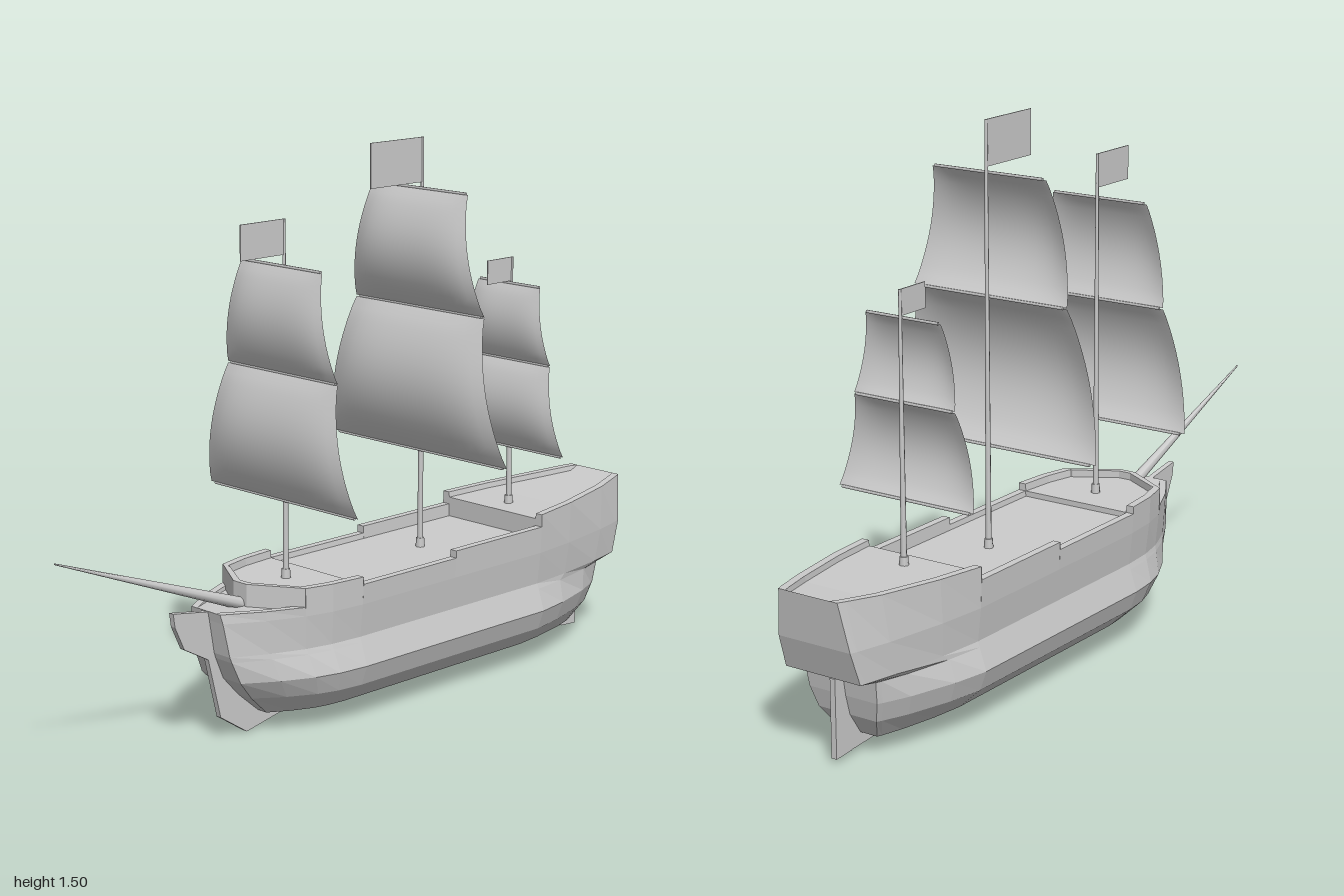
import * as THREE from 'three';

const flat = new THREE.MeshStandardMaterial({ color: 0xcccccc, flatShading: true, side: THREE.DoubleSide });
const smooth = new THREE.MeshStandardMaterial({ color: 0xcccccc, side: THREE.DoubleSide });
const { lerp } = THREE.MathUtils;

function add(parent, name, geometry, material = flat) {
  const mesh = new THREE.Mesh(geometry, material);
  mesh.name = name;
  parent.add(mesh);
  return mesh;
}

// Tapered round pole between two points
function pole(parent, name, from, to, r0, r1, sides = 8) {
  const a = new THREE.Vector3(...from), b = new THREE.Vector3(...to);
  const dir = b.clone().sub(a);
  const mesh = add(parent, name, new THREE.CylinderGeometry(r1, r0, dir.length(), sides), smooth);
  mesh.position.copy(a).add(b).multiplyScalar(0.5);
  mesh.quaternion.setFromUnitVectors(new THREE.Vector3(0, 1, 0), dir.normalize());
  return mesh;
}

const shapeOf = pts => new THREE.Shape(pts.map(p => new THREE.Vector2(...p)));

// Upright plate from a (z, y) outline, centred on x = 0
function plate(parent, name, pts, thickness) {
  const g = new THREE.ExtrudeGeometry(shapeOf(pts), { depth: thickness, bevelEnabled: false });
  g.translate(0, 0, -thickness / 2).rotateY(-Math.PI / 2);
  return add(parent, name, g);
}

// Horizontal slab from an (x, z) outline
function slab(parent, name, pts, y0, y1) {
  const g = new THREE.ExtrudeGeometry(shapeOf(pts.map(([x, z]) => [x, -z])), { depth: y1 - y0, bevelEnabled: false });
  g.rotateX(-Math.PI / 2).translate(0, y0, 0);
  return add(parent, name, g);
}

// Hull levels: y, half width amidships, stern z, stern half width, bow z, bow half width
const LEVELS = [
  [0.05, 0.115, -0.82, 0.06, 0.35, 0.04],
  [0.11, 0.18, -0.86, 0.09, 0.42, 0.06],
  [0.165, 0.2, -0.875, 0.105, 0.47, 0.075],
  [0.225, 0.18, -0.885, 0.11, 0.495, 0.07],
  [0.24, 0.175, -0.95, 0.115, 0.5, 0.068],
  [0.33, 0.185, -0.98, 0.11, 0.515, 0.06],
  [0.4, 0.188, -1, 0.09, 0.52, 0.055],
];
// Hull stations: z, fullness, rail height, deck height (a repeated z makes a step)
const STATIONS = [
  [-1, 0, 0.46, 0.46], [-0.98, 0.08, 0.459, 0.445], [-0.88, 0.4, 0.452, 0.437],
  [-0.7, 0.8, 0.445, 0.43], [-0.555, 1, 0.44, 0.425],
  [-0.555, 1, 0.405, 0.37], [-0.21, 1, 0.405, 0.37],
  [-0.21, 1, 0.385, 0.37], [0.14, 1, 0.385, 0.37],
  [0.14, 1, 0.405, 0.385], [0.24, 0.93, 0.405, 0.385], [0.32, 0.78, 0.405, 0.385],
  [0.32, 0.78, 0.355, 0.345], [0.42, 0.45, 0.355, 0.345], [0.52, 0, 0.355, 0.355],
];

function hullGeometry() {
  const pos = [], index = [];
  const AFT = -0.555, FORE = 0.14;
  const n = (LEVELS.length + 2) * 2;
  for (const [z, full, rail, deck] of STATIONS) {
    const half = LEVELS.map(([y, mid, zs, ws, zb, wb], k) => {
      const aft = z < 0;
      const w = lerp(aft ? ws : wb, mid, full);
      let pz = z;
      if (z < AFT) pz = lerp(AFT, zs, (z - AFT) / (-1 - AFT));
      if (z > FORE) pz = lerp(FORE, zb, (z - FORE) / (0.52 - FORE));
      return [w, k === LEVELS.length - 1 ? rail : y, pz];
    });
    // Inner face of the bulwark, then the deck edge
    const [w, , pz] = half[half.length - 1];
    half.push([w - 0.022, rail, pz], [w - 0.024, deck, pz]);
    const ring = [...half, ...half.slice().reverse().map(p => [-p[0], p[1], p[2]])];
    ring.forEach(p => pos.push(...p));
  }
  const quad = (a, b, c, d) => index.push(a, b, c, a, c, d);
  for (let j = 0; j < STATIONS.length - 1; j++)
    for (let i = 0; i < n; i++) {
      const i2 = (i + 1) % n;
      quad(j * n + i, j * n + i2, (j + 1) * n + i2, (j + 1) * n + i);
    }
  // Transom and bow face
  const last = (STATIONS.length - 1) * n;
  for (let k = 0; k < LEVELS.length - 1; k++) {
    quad(k, n - 1 - k, n - 2 - k, k + 1);
    quad(last + n - 1 - k, last + k, last + k + 1, last + n - 2 - k);
  }
  const g = new THREE.BufferGeometry();
  g.setAttribute('position', new THREE.Float32BufferAttribute(pos, 3));
  g.setIndex(index);
  const out = g.toNonIndexed();
  out.computeVertexNormals();
  return out;
}

// Billowing sail between two heights
function sailGeometry(y0, y1, w0, w1, z, belly) {
  const g = new THREE.PlaneGeometry(2, 1, 16, 14);
  const p = g.attributes.position;
  for (let i = 0; i < p.count; i++) {
    const u = p.getX(i), v = p.getY(i) + 0.5;
    const swell = Math.sin(Math.PI * v) ** 0.8 || 0;
    p.setXYZ(i, u * lerp(w0, w1, v), lerp(y0, y1, v), z + belly * swell * (0.55 + 0.45 * (1 - u ** 4)));
  }
  g.computeVertexNormals();
  return g;
}

// Masts: heights and half widths run from the lowest yard to the highest
const MASTS = [
  { name: 'foreMast', z: 0.24, base: 0.38, top: 1.33, ys: [0.595, 0.932, 1.21], ws: [0.277, 0.205, 0.15], belly: [0.055, 0.042], flag: [0.15, 0.092] },
  { name: 'mainMast', z: -0.265, base: 0.365, top: 1.495, ys: [0.645, 1.04, 1.36], ws: [0.325, 0.238, 0.175], belly: [0.07, 0.058], flag: [0.195, 0.12] },
  { name: 'mizzenMast', z: -0.625, base: 0.42, top: 1.132, ys: [0.595, 0.845, 1.06], ws: [0.208, 0.155, 0.115], belly: [0.042, 0.032], flag: [0.1, 0.067] },
];

function buildMast({ name, z, base, top, ys, ws, belly, flag }) {
  const mast = new THREE.Group();
  mast.name = name;
  pole(mast, 'mastPole', [0, base, z], [0, top, z], 0.008, 0.004);
  pole(mast, 'mastCollar', [0, base, z], [0, base + 0.03, z], 0.013, 0.011);
  ys.forEach((y, i) => {
    const w = ws[i] * 0.95;
    pole(mast, 'yard', [-w, y, z + 0.008], [w, y, z + 0.008], 0.004, 0.004, 6);
  });
  for (let i = 0; i < 2; i++)
    add(mast, i ? 'upperSail' : 'lowerSail',
      sailGeometry(ys[i] + 0.002, ys[i + 1] - 0.002, ws[i], ws[i + 1], z + 0.01, belly[i]), smooth);
  const pennant = add(mast, 'flag', new THREE.BoxGeometry(0.003, flag[1], flag[0]));
  pennant.position.set(0, top - flag[1] / 2, z + flag[0] / 2);
  return mast;
}

export function createModel() {
  const ship = new THREE.Group();
  ship.name = 'sailingShip';

  add(ship, 'hull', hullGeometry());

  // Pointed front of the forecastle: deck and surrounding bulwark
  slab(ship, 'forecastleDeck', [[0.155, 0.32], [0.025, 0.4], [-0.025, 0.4], [-0.155, 0.32]], 0.34, 0.385);
  slab(ship, 'forecastleBulwark', [
    [0.157, 0.32], [0.025, 0.402], [-0.025, 0.402], [-0.157, 0.32],
    [-0.13, 0.32], [-0.018, 0.386], [0.018, 0.386], [0.13, 0.32],
  ], 0.34, 0.405);

  // Keel sweeping up into the stem, and the rudder
  plate(ship, 'keel', [
    [-0.86, 0.015], [-0.55, 0.035], [0.22, 0.035], [0.39, 0], [0.48, 0.06], [0.52, 0.225],
    [0.6, 0.27], [0.63, 0.335], [0.635, 0.372], [0.5, 0.35], [0.45, 0.2], [0.33, 0.07], [-0.8, 0.07], [-0.86, 0.2],
  ], 0.016);
  plate(ship, 'rudder', [[-0.915, 0.01], [-0.855, 0.014], [-0.855, 0.22], [-0.915, 0.22]], 0.016);

  pole(ship, 'bowsprit', [0, 0.345, 0.39], [0, 0.575, 1], 0.017, 0.002);

  MASTS.forEach(m => ship.add(buildMast(m)));
  return ship;
}
